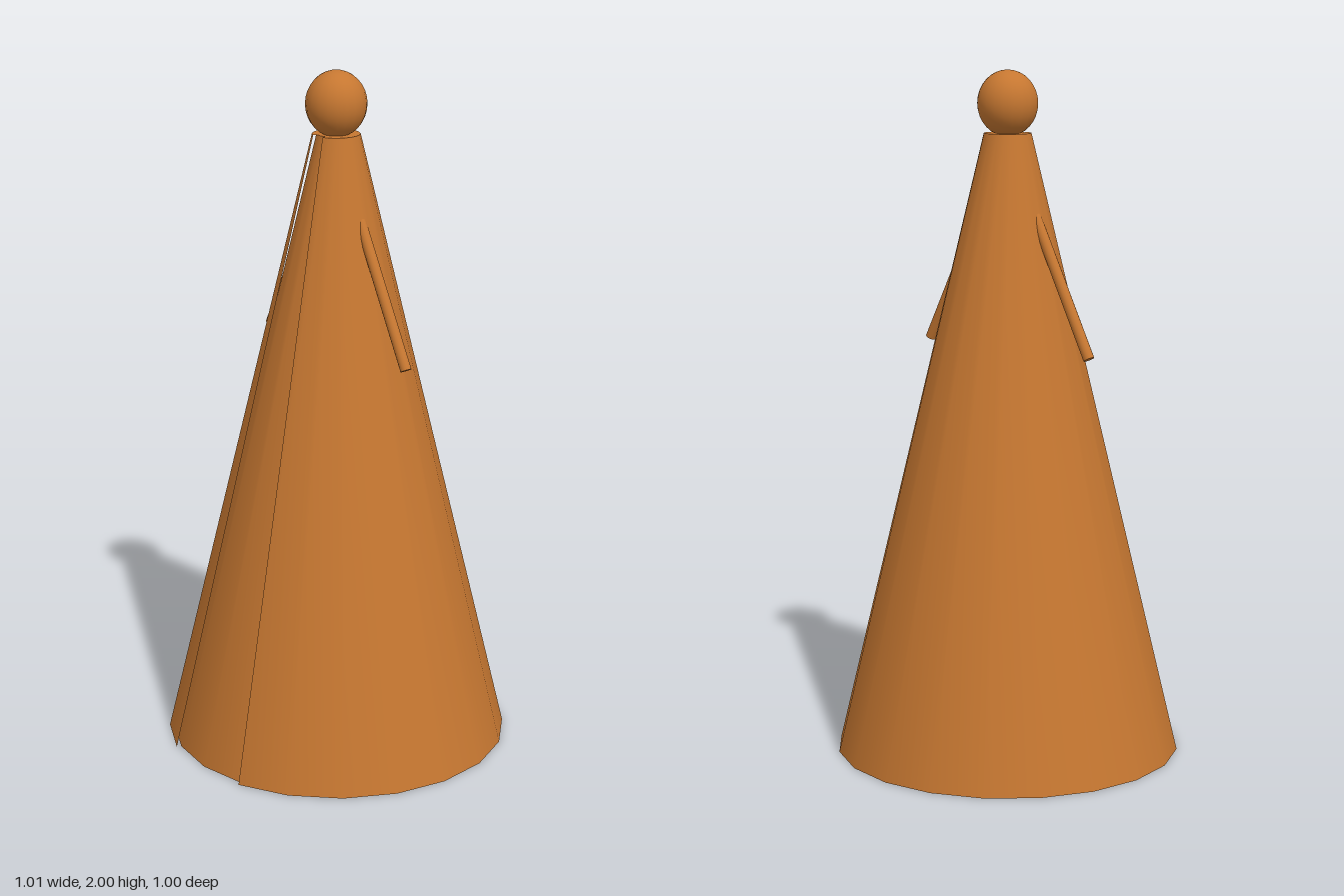
import * as THREE from 'three';

export function createModel() {
  const model = new THREE.Group();
  const clay = new THREE.MeshStandardMaterial({ color: 0xc67731 });
  clay.name = 'warm clay';

  const add = (name, geometry, parent = model) => {
    const mesh = new THREE.Mesh(geometry, clay);
    mesh.name = name;
    parent.add(mesh);
    return mesh;
  };

  const H = 1.82, STEP = Math.PI / 10; // robe height, one of 20 sides
  const outer = { top: 0.069, base: 0.507 };
  const inner = { top: 0.056, base: 0.493 };

  // Inner gown, seen through the front opening
  add('gown', new THREE.CylinderGeometry(inner.top, inner.base, H, 20, 1)).position.y = H / 2;

  // Cloak with thickness, open by two sides at the front
  const cloak = new THREE.Group();
  cloak.name = 'cloak';
  model.add(cloak);
  add('cloakOutside', new THREE.CylinderGeometry(outer.top, outer.base, H, 18, 1, true, STEP, 18 * STEP), cloak)
    .position.y = H / 2;

  // Flat rims closing the top and bottom of the cloak
  const rim = (name, key, y, tilt) => {
    const ring = new THREE.RingGeometry(inner[key], outer[key], 18, 1, -Math.PI / 2 + STEP, 18 * STEP);
    if (tilt > 0) ring.rotateZ(Math.PI); // keep the gap at the front
    add(name, ring.rotateX(tilt), cloak).position.y = y;
  };
  rim('cloakTopRim', 'top', H, -Math.PI / 2);
  rim('cloakHem', 'base', 0, Math.PI / 2);

  // Thin front edges of the cloak
  for (const side of [1, -1]) {
    const s = Math.sin(STEP) * side, c = Math.cos(STEP);
    const corners = [[inner.base, 0], [outer.base, 0], [outer.top, H], [inner.top, H]];
    const edge = new THREE.BufferGeometry();
    edge.setAttribute('position', new THREE.Float32BufferAttribute(
      corners.flatMap(([r, y]) => [r * s, y, r * c]), 3));
    edge.setIndex(side > 0 ? [0, 2, 1, 0, 3, 2] : [0, 1, 2, 0, 2, 3]);
    edge.computeVertexNormals();
    add(side > 0 ? 'leftCloakEdge' : 'rightCloakEdge', edge, cloak);
  }

  // Head
  const head = add('head', new THREE.SphereGeometry(0.088, 20, 16));
  head.scale.y = 0.095 / 0.088;
  head.position.y = 1.905;

  // Stick arms, sloping out from the shoulders
  for (const side of [1, -1]) {
    const shoulder = new THREE.Vector3(0.087 * side, 1.63, 0);
    const hand = new THREE.Vector3(0.316 * side, 1.197, 0);
    const along = shoulder.clone().sub(hand);
    const arm = add(side > 0 ? 'leftArm' : 'rightArm',
      new THREE.CylinderGeometry(0.016, 0.016, along.length(), 16));
    arm.position.copy(shoulder).add(hand).multiplyScalar(0.5);
    arm.quaternion.setFromUnitVectors(new THREE.Vector3(0, 1, 0), along.normalize());
  }

  // Centre the whole figure in depth
  for (const part of model.children) part.position.z += 0.004;
  return model;
}
